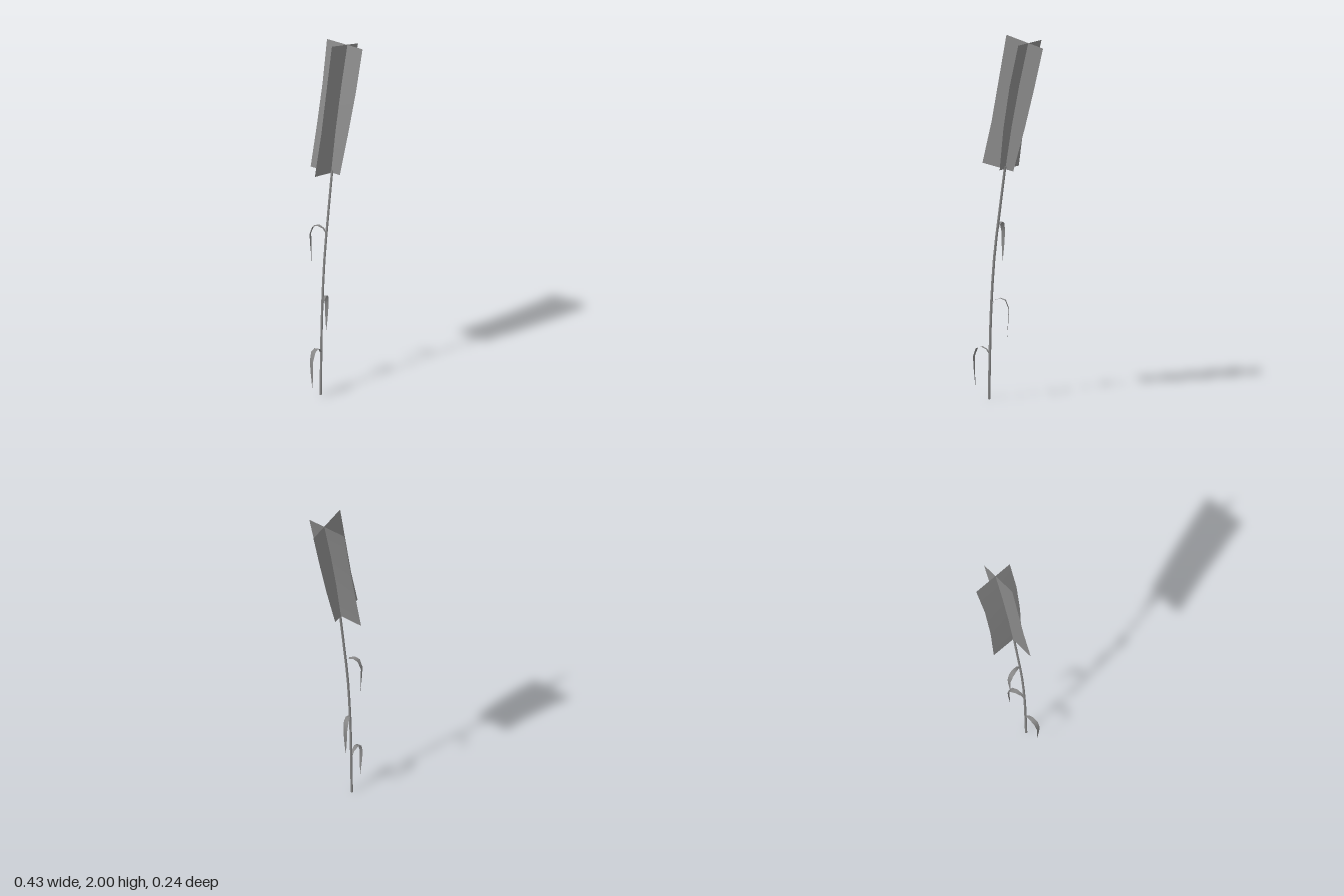
import * as THREE from 'three';

const STEM_Z = 0.023;

// Open strip lofted through rows of [leftPoint, rightPoint]
function ribbon(rows) {
  const pos = [], idx = [];
  rows.forEach(([a, b], i) => {
    pos.push(...a, ...b);
    if (i) {
      const k = 2 * i;
      idx.push(k - 2, k - 1, k, k - 1, k + 1, k);
    }
  });
  const g = new THREE.BufferGeometry();
  g.setAttribute('position', new THREE.Float32BufferAttribute(pos, 3));
  g.setIndex(idx);
  g.computeVertexNormals();
  return g;
}

export function createModel() {
  const group = new THREE.Group();
  const material = new THREE.MeshStandardMaterial({ color: 0x888888, side: THREE.DoubleSide });
  const add = (name, geometry) => {
    const mesh = new THREE.Mesh(geometry, material);
    mesh.name = name;
    group.add(mesh);
    return mesh;
  };

  // Bent stem
  const curve = new THREE.CatmullRomCurve3(
    [[-0.125, 0], [-0.12, 0.25], [-0.112, 0.5], [-0.09, 0.8], [-0.063, 1.0], [-0.023, 1.28]]
      .map(([x, y]) => new THREE.Vector3(x, y, STEM_Z)));
  add('stem', new THREE.TubeGeometry(curve, 10, 0.007, 6, false));

  // Drooping leaves: [reach, height, half width] along one shared arch
  const arch = [
    [0, 0, 0.005], [0.018, 0.032, 0.008], [0.05, 0.045, 0.0125], [0.079, 0.034, 0.0135],
    [0.097, -0.012, 0.011], [0.094, -0.08, 0.008], [0.088, -0.172, 0.001],
  ];
  const leaves = [
    ['lowerLeaf', -0.12, 0.24, -0.995, 0.08],
    ['middleLeaf', -0.112, 0.51, 0.92, -0.38],
    ['upperLeaf', -0.073, 0.922, -0.21, -0.97],
  ];
  for (const [name, x, y, dx, dz] of leaves) {
    const rows = arch.map(([r, h, w]) => [-w, w].map(
      (s) => [dx * r - dz * s, h, dz * r + dx * s]));
    add(name, ribbon(rows)).position.set(x, y, STEM_Z);
  }

  // Two crossed, slightly bent panels forming the flower head
  add('headPanelAcross', ribbon([
    [[-0.17, 1.288, 0.018], [0.025, 1.256, 0.018]],
    [[-0.112, 1.52, 0.018], [0.099, 1.5, 0.018]],
    [[-0.066, 1.755, 0.018], [0.157, 1.715, 0.018]],
    [[-0.018, 2.0, 0.018], [0.214, 1.943, 0.018]],
  ]));
  add('headPanelDeep', ribbon([
    [-0.025, 1.266, 0.077, -0.121],
    [0.015, 1.5, 0.103, -0.109],
    [0.063, 1.73, 0.119, -0.107],
    [0.12, 1.965, 0.121, -0.12],
  ].map(([x, y, z0, z1]) => [[x, y, z0], [x, y, z1]])));

  return group;
}
